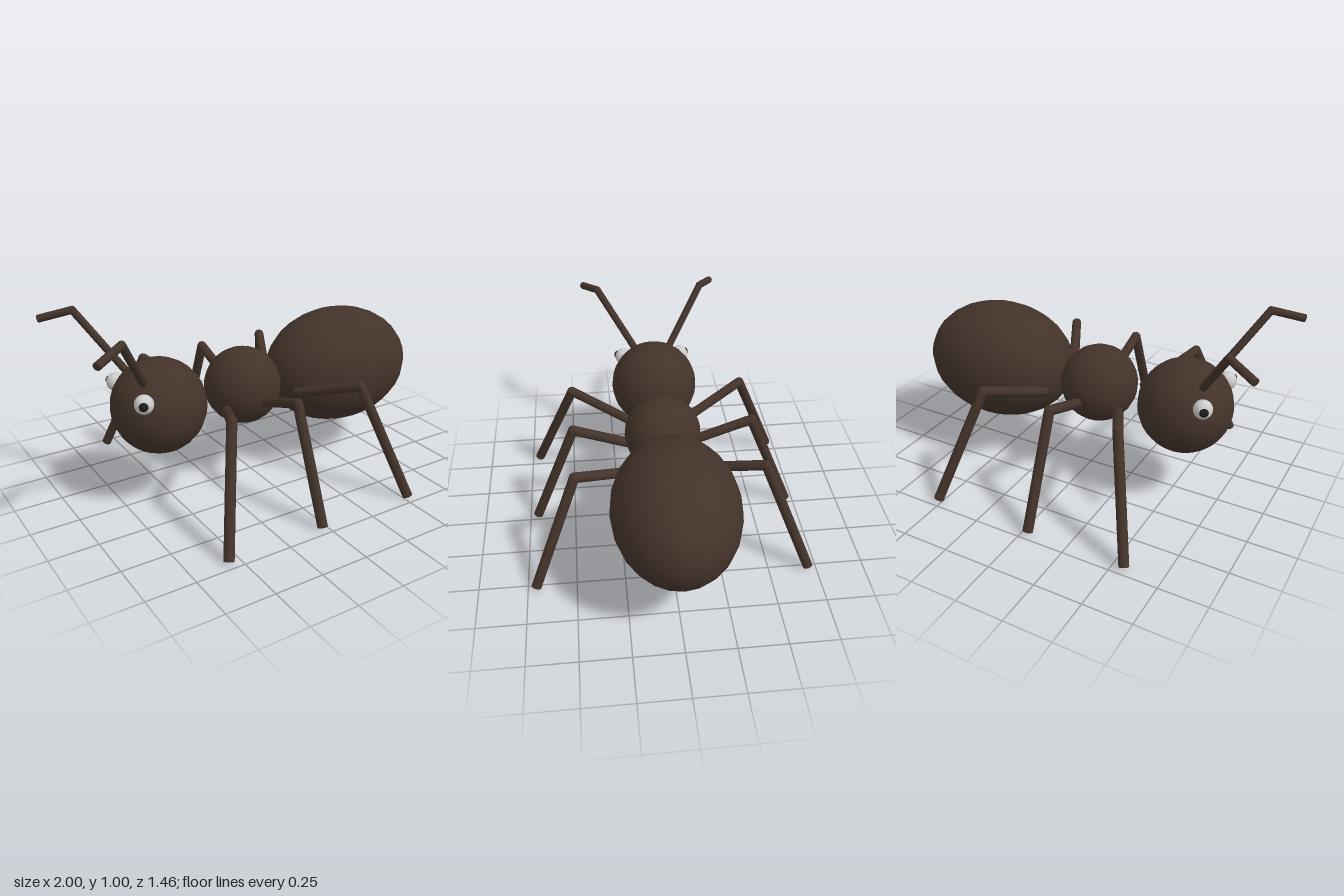
import * as THREE from 'three';

const brown = new THREE.MeshStandardMaterial({ color: 0x43332a });
const white = new THREE.MeshStandardMaterial({ color: 0xcccccc });
const black = new THREE.MeshStandardMaterial({ color: 0x1c1c1c });

function ball(name, material, radius, position, stretch = 1) {
  const mesh = new THREE.Mesh(new THREE.SphereGeometry(radius, 24, 16), material);
  mesh.name = name;
  mesh.position.set(...position);
  mesh.scale.x = stretch;
  return mesh;
}

// Straight round rod between two points
function rod(name, from, to, radius) {
  const a = new THREE.Vector3(...from), b = new THREE.Vector3(...to);
  const dir = b.clone().sub(a);
  const mesh = new THREE.Mesh(new THREE.CylinderGeometry(radius, radius, dir.length(), 12), brown);
  mesh.name = name;
  mesh.position.copy(a).add(b).multiplyScalar(0.5);
  mesh.quaternion.setFromUnitVectors(new THREE.Vector3(0, 1, 0), dir.normalize());
  return mesh;
}

// Two rods meeting at a bend
function jointedLimb(name, [root, bend, tip], radius) {
  const limb = new THREE.Group();
  limb.name = name;
  limb.add(
    rod('upperSegment', root, bend, radius),
    rod('lowerSegment', bend, tip, radius),
    ball('joint', brown, radius, bend)
  );
  return limb;
}

export function createModel() {
  const ant = new THREE.Group();
  ant.name = 'ant';

  // Body, head towards -x
  ant.add(
    ball('head', brown, 0.243, [-0.54, 0.516, 0]),
    ball('thorax', brown, 0.204, [-0.05, 0.517, 0]),
    ball('abdomen', brown, 0.317, [0.568, 0.515, 0], 1.347)
  );

  for (const s of [1, -1]) {
    // Three legs per side, the outer pairs splayed along x
    ['frontLeg', 'middleLeg', 'rearLeg'].forEach((name, i) => {
      const k = i - 1, cx = k === 0 ? -0.03 : -0.02;
      ant.add(jointedLimb(name, [
        [cx + k * 0.215, 0.465, s * 0.145],
        [cx + k * 0.38, 0.583, s * 0.475],
        [cx + k * 0.54, 0.012, s * 0.707]
      ], 0.026));
    });

    // Antennae
    ant.add(jointedLimb('antenna', [
      [-0.66, 0.69, s * 0.1],
      [-0.84, 0.982, s * 0.297],
      [-0.99, 0.94, s * 0.377]
    ], 0.02));

    // Eyes with pupils turned outwards
    ant.add(
      ball('eye', white, 0.048, [-0.693, 0.617, s * 0.165]),
      ball('pupil', black, 0.024, [-0.709, 0.62, s * 0.195])
    );
  }
  return ant;
}
